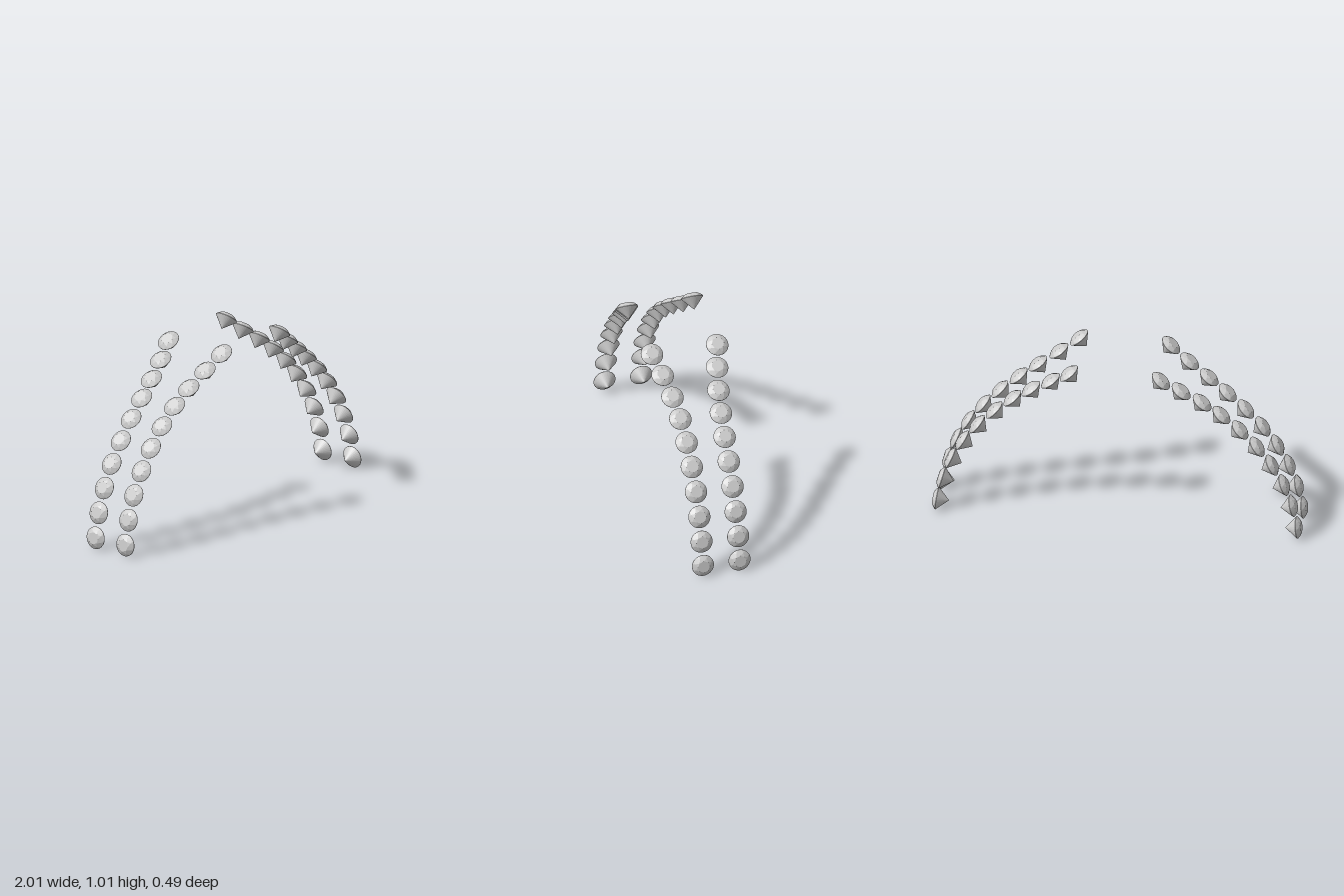
import * as THREE from 'three';

const RADIUS = 0.061, CROWN = 0.022, PAVILION = 0.066, GIRDLE = 0.001;

// Brilliant-cut stone: octagonal table, star and kite facets, thin girdle, pointed pavilion.
// The table faces +y and the girdle lies on y = 0.
function brilliantGeometry() {
  const pos = [];
  const sides = 32;
  const ring = (r, h, n, shift = 0) => (i) => {
    const a = ((i + shift) / n) * Math.PI * 2;
    return [r * RADIUS * Math.cos(a), h, -r * RADIUS * Math.sin(a)];
  };
  const face = (...p) => {
    for (let k = 1; k < p.length - 1; k++) pos.push(...p[0], ...p[k], ...p[k + 1]);
  };
  const tableR = 0.55, midR = 0.8;
  // height that keeps the kite facets flat
  const midH = CROWN * (1 - midR * Math.cos(Math.PI / 8)) / (1 - tableR);
  const table = ring(tableR, CROWN, 8);
  const mid = ring(midR, midH, 8, 0.5);
  const upper = ring(1, GIRDLE, sides);
  const lower = ring(1, -GIRDLE, sides);
  const culet = [0, -PAVILION, 0];

  for (let i = 0; i < 8; i++) {
    face([0, CROWN, 0], table(i), table(i + 1));
    face(table(i), mid(i), table(i + 1));
    face(table(i), mid(i - 1), upper(i * 4), mid(i));
    for (let j = i * 4; j < i * 4 + 4; j++) face(mid(i), upper(j), upper(j + 1));
  }
  for (let j = 0; j < sides; j++) {
    face(upper(j), lower(j), lower(j + 1), upper(j + 1));
    face(culet, lower(j + 1), lower(j));
  }
  const geometry = new THREE.BufferGeometry();
  geometry.setAttribute('position', new THREE.Float32BufferAttribute(pos, 3));
  geometry.computeVertexNormals();
  return geometry;
}

// Stone centres along one row, from the foot of the arch to its open top
const ROW = [
  [0.978, 0.063, 0.102], [0.951, 0.197, 0.102], [0.904, 0.325, 0.101],
  [0.84, 0.445, 0.102], [0.76, 0.555, 0.103], [0.668, 0.655, 0.106],
  [0.568, 0.745, 0.113], [0.465, 0.824, 0.128], [0.355, 0.9, 0.152],
  [0.25, 0.975, 0.182],
];

export function createModel() {
  const model = new THREE.Group();
  model.name = 'gemstoneArch';
  const geometry = brilliantGeometry();
  const material = new THREE.MeshStandardMaterial({ color: 0xcccccc, flatShading: true });

  // Four mirrored rows: left and right, front and back
  for (const sx of [1, -1]) {
    for (const sz of [1, -1]) {
      const row = new THREE.Group();
      row.name = (sz > 0 ? 'front' : 'back') + (sx > 0 ? 'Left' : 'Right') + 'Row';
      ROW.forEach(([x, y, z], i) => {
        const a = ROW[Math.max(i - 1, 0)];
        const b = ROW[Math.min(i + 1, ROW.length - 1)];
        let tilt = Math.atan2(b[1] - a[1], a[0] - b[0]); // outward normal of the arch
        if (i === 0) tilt = 1.45;
        if (i === ROW.length - 1) tilt = 0.68;
        const stone = new THREE.Mesh(geometry, material);
        stone.name = 'stone' + (i + 1);
        stone.position.set(sx * x, y, sz * z);
        stone.rotation.z = -sx * tilt;
        row.add(stone);
      });
      model.add(row);
    }
  }
  return model;
}
